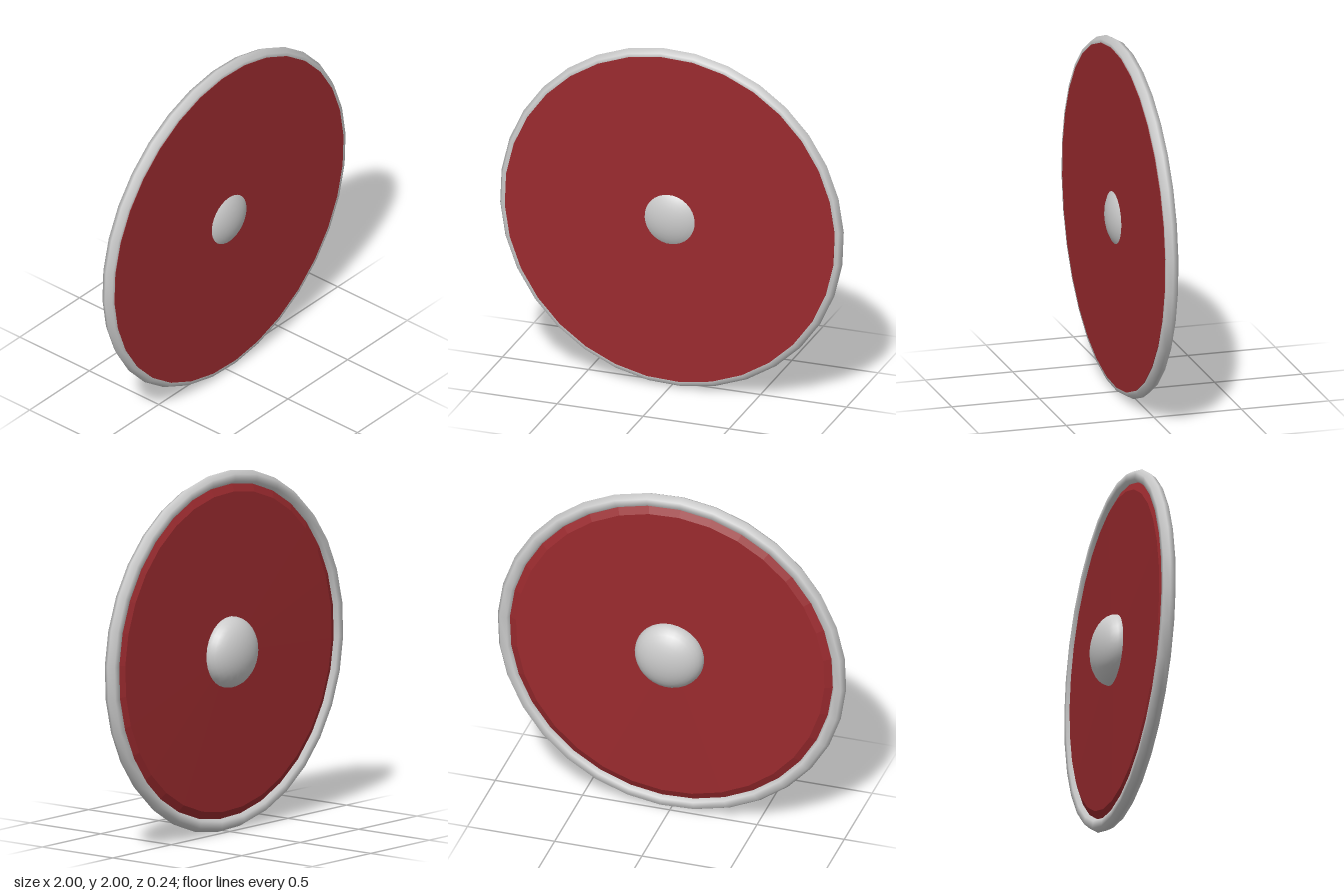
import * as THREE from 'three';

const SIDES = 32;
const TURN = THREE.MathUtils.degToRad(3.3);

export function createModel() {
  const group = new THREE.Group();
  group.name = 'roundShield';

  const metal = new THREE.MeshStandardMaterial({ color: 0xcccccc });
  const red = new THREE.MeshStandardMaterial({ color: 0x9a2a2e, flatShading: true });

  const add = (name, geometry, material, z) => {
    const mesh = new THREE.Mesh(geometry, material);
    mesh.name = name;
    mesh.position.set(0, 1, z);
    mesh.rotation.z = TURN;
    group.add(mesh);
  };

  // Board: flat front, bevelled and very slightly conical back
  const profile = [
    [0, 0], [0.885, 0.008], [0.94, 0.035], [0.96, 0.05], [0.96, 0.077], [0, 0.077],
  ].map(([r, z]) => new THREE.Vector2(r, z));
  add('board', new THREE.LatheGeometry(profile, SIDES).rotateX(Math.PI / 2), red, 0);

  // Rim: six-sided tube around the edge
  add('rim', new THREE.TorusGeometry(0.96, 0.04, 6, SIDES), metal, 0.04);

  // Boss: flattened ball passing through the middle of the board
  const boss = new THREE.SphereGeometry(0.197, 32, 16).rotateX(Math.PI / 2).scale(1, 1, 0.6);
  add('boss', boss, metal, -0.002);

  return group;
}
